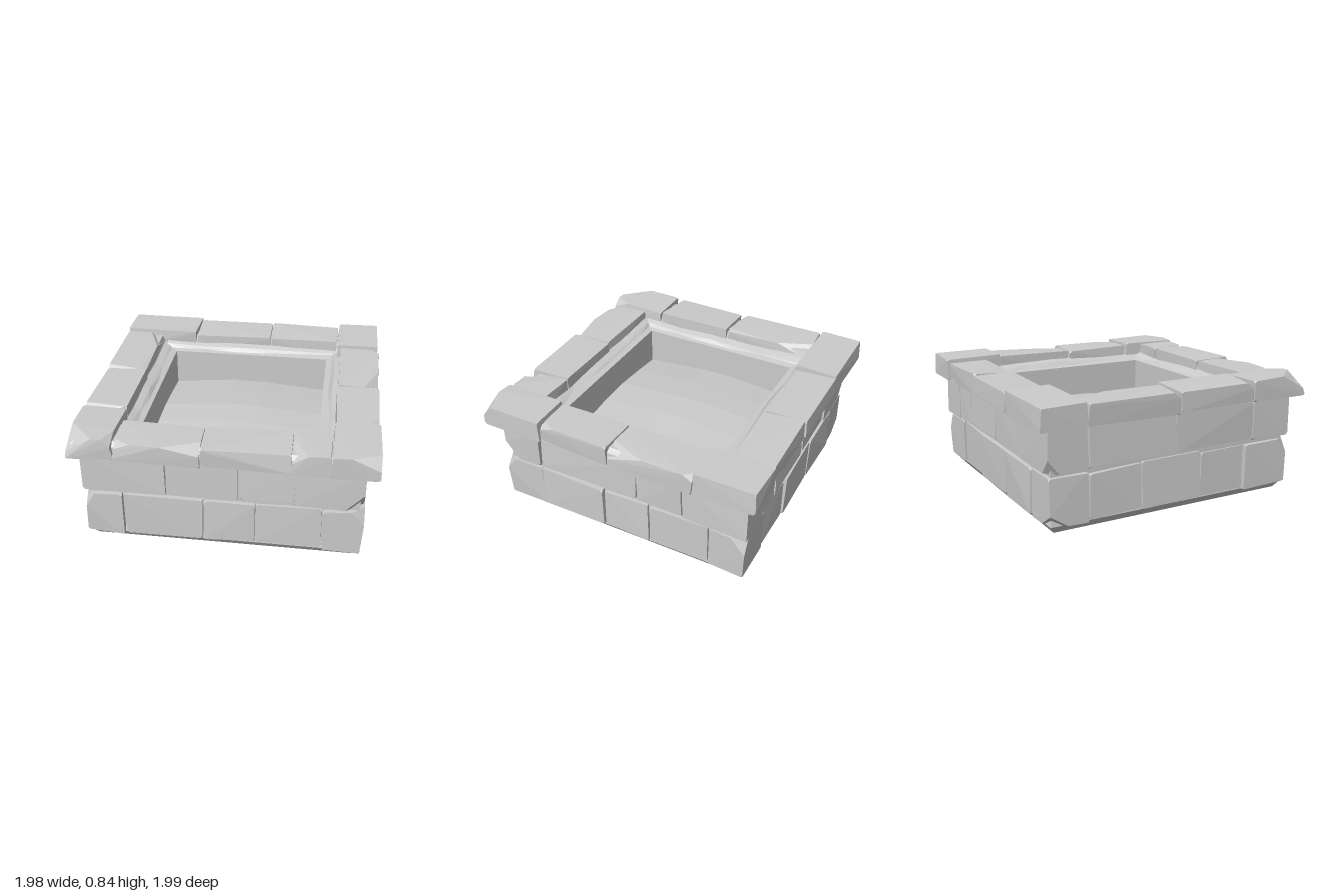
import * as THREE from 'three';
import { ConvexGeometry } from 'three/addons/geometries/ConvexGeometry.js';

export function createModel() {
  const group = new THREE.Group();
  const mat = new THREE.MeshStandardMaterial({ color: 0xcccccc, flatShading: true });
  let seed = 11;
  const rand = () => (seed = (seed * 16807) % 2147483647) / 2147483647;
  const jitter = (a) => (rand() * 2 - 1) * a;

  const add = (name, geometry) => {
    const mesh = new THREE.Mesh(geometry, mat);
    mesh.name = name;
    group.add(mesh);
    return mesh;
  };

  // Rough hewn block: a box with each corner nicked; chips = { corner: [dx, dy, dz] }
  // Corner bits: 1 = high x, 2 = high y, 4 = high z
  function stone(name, [x0, x1], [y0, y1], [z0, z1], chips = {}) {
    const pts = [];
    for (let i = 0; i < 8; i++) {
      const sx = i & 1 ? 1 : -1, sy = i & 2 ? 1 : -1, sz = i & 4 ? 1 : -1;
      const p = new THREE.Vector3(
        (sx > 0 ? x1 : x0) - sx * 0.005 + jitter(0.008),
        (sy > 0 ? y1 : y0) + jitter(0.008),
        (sz > 0 ? z1 : z0) - sz * 0.005 + jitter(0.008));
      const c = chips[i] || [0.005 + rand() * 0.015, 0.005 + rand() * 0.015, 0.005 + rand() * 0.015];
      pts.push(p.clone().setX(p.x - sx * c[0]), p.clone().setY(p.y - sy * c[1]), p.clone().setZ(p.z - sz * c[2]));
    }
    add(name, new ConvexGeometry(pts));
  }

  // Square ring swept from a profile of [half width, height] points
  function squareRing(name, profile) {
    const pts = profile.map(([r, y]) => new THREE.Vector2(r * Math.SQRT2, y));
    const ring = new THREE.LatheGeometry(pts, 4, Math.PI / 4).toNonIndexed();
    ring.computeVertexNormals();
    add(name, ring);
  }

  // Base plate, mortar wall, inner ledge and inner wall, then the bed behind the cap stones
  squareRing('mortarCore', [[0, 0], [0.86, 0], [0.895, 0.05], [0.885, 0.1], [0.885, 0.685], [0.7, 0.72], [0.59, 0.7], [0.59, 0.4]]);
  squareRing('capBed', [[0.68, 0.675], [0.97, 0.675], [0.96, 0.76], [0.93, 0.785], [0.72, 0.785], [0.695, 0.72]]);

  // Wall courses: corner blocks as [xRange, zRange, chips], then runs between seams on each side
  const courses = [
    {
      name: 'lowerStone', y: [0.05, 0.365],
      corners: [
        [[-0.92, -0.65], [0.55, 0.92], { 6: [0.06, 0.1, 0.08] }],
        [[0.65, 0.915], [0.62, 0.92], { 7: [0.08, 0.1, 0.08] }],
        [[0.6, 0.915], [-0.915, -0.65], { 3: [0.06, 0.12, 0.1] }],
        [[-0.92, -0.65], [-0.915, -0.64], { 0: [0.12, 0.08, 0.12] }]],
      front: [-0.65, -0.12, 0.22, 0.65], right: [-0.65, -0.22, 0.12, 0.62],
      back: [-0.65, -0.23, 0.25, 0.6], left: [-0.64, -0.26, 0.2, 0.55],
    },
    {
      name: 'upperStone', y: [0.385, 0.67],
      corners: [
        [[-0.92, -0.37], [0.62, 0.92]],
        [[0.47, 0.92], [0.62, 0.92], { 5: [0.12, 0.13, 0.1] }],
        [[0.43, 0.7], [-0.91, -0.62]],
        [[0.65, 0.92], [-0.92, -0.46]],
        [[-0.92, -0.48], [-0.92, -0.64], { 0: [0.08, 0.1, 0.08] }]],
      front: [-0.37, 0.11, 0.47], right: [-0.46, -0.13, 0.62],
      back: [-0.48, -0.06, 0.43], left: [-0.64, 0, 0.62],
    },
  ];
  for (const c of courses) {
    for (const [x, z, chips] of c.corners) {
      stone(c.name + 'Corner', x, c.y, [Math.min(...z), Math.max(...z)], chips);
    }
    const run = (side, place) => {
      for (let i = 0; i + 1 < c[side].length; i++) {
        const out = 0.912 + jitter(0.01);
        const [x, z] = place([c[side][i], c[side][i + 1]], [0.7, out], [-out, -0.7]);
        stone(c.name + side, x, [c.y[0] + rand() * 0.015, c.y[1] + jitter(0.006)], z);
      }
    };
    run('front', (u, hi) => [u, hi]);
    run('back', (u, hi, lo) => [u, lo]);
    run('right', (u, hi) => [hi, u]);
    run('left', (u, hi, lo) => [lo, u]);
  }

  // Overhanging cap stones: [xRange, zRange, top, chips]
  const caps = [
    [[-0.995, -0.445], [-0.995, -0.68], 0.825],
    [[-0.445, 0.14], [-0.985, -0.69], 0.805],
    [[0.14, 0.665], [-0.975, -0.69], 0.81],
    [[0.665, 0.985], [-0.995, -0.57], 0.83],
    [[0.69, 0.985], [-0.57, 0.03], 0.81, { 3: [0.05, 0.04, 0.06], 7: [0.1, 0.08, 0.25] }],
    [[0.69, 0.98], [0.03, 0.55], 0.805, { 7: [0.06, 0.03, 0.1] }],
    [[0.69, 0.99], [0.55, 0.995], 0.825, { 7: [0.18, 0.08, 0.07] }],
    [[0.44, 0.69], [0.685, 0.99], 0.81, { 6: [0.1, 0.06, 0.2] }],
    [[-0.13, 0.44], [0.69, 0.985], 0.805],
    [[-0.68, -0.13], [0.695, 0.99], 0.805, { 7: [0.25, 0.05, 0.1], 6: [0.1, 0.04, 0.06] }],
    [[-0.985, -0.68], [0.56, 0.995], 0.82, { 6: [0.17, 0.1, 0.18], 7: [0.06, 0.05, 0.12] }],
    [[-0.985, -0.69], [-0.02, 0.56], 0.815, { 6: [0.25, 0.04, 0.05] }],
    [[-0.985, -0.7], [-0.68, -0.02], 0.81, { 3: [0.1, 0.08, 0.25], 6: [0.25, 0.04, 0.05] }],
  ];
  for (const [x, z, top, chips] of caps) stone('capStone', x, [0.675, top], z, chips);

  // Chipped rubble along the inside of the cap
  for (let side = 0; side < 4; side++) {
    const cuts = [-0.68, -0.3, 0.1, 0.4, 0.68].map((u) => ({ u, edge: 0.595 + rand() * 0.025, top: 0.71 + rand() * 0.03 }));
    for (let i = 0; i < 4; i++) {
      const pts = [];
      for (const { u, edge, top } of [cuts[i], cuts[i + 1]]) {
        pts.push(new THREE.Vector3(u, 0.6, 0.595), new THREE.Vector3(u, 0.685, edge),
          new THREE.Vector3(u, top, edge + 0.045), new THREE.Vector3(u, top + 0.02, 0.71), new THREE.Vector3(u, 0.6, 0.71));
      }
      add('innerRubble', new ConvexGeometry(pts)).rotation.y = side * Math.PI / 2;
    }
  }

  // Gently mounded soil in a coarse grid of planar tiles
  const soil = new THREE.PlaneGeometry(1.18, 1.18, 5, 5).rotateX(-Math.PI / 2);
  const rise = [0, 0.025, 0.045, 0.04, 0.02, 0];
  const p = soil.attributes.position;
  for (let i = 0; i < p.count; i++) p.setY(i, 0.43 + rise[i % 6] + rise[Math.floor(i / 6)]);
  soil.computeVertexNormals();
  add('soil', soil);

  return group;
}
